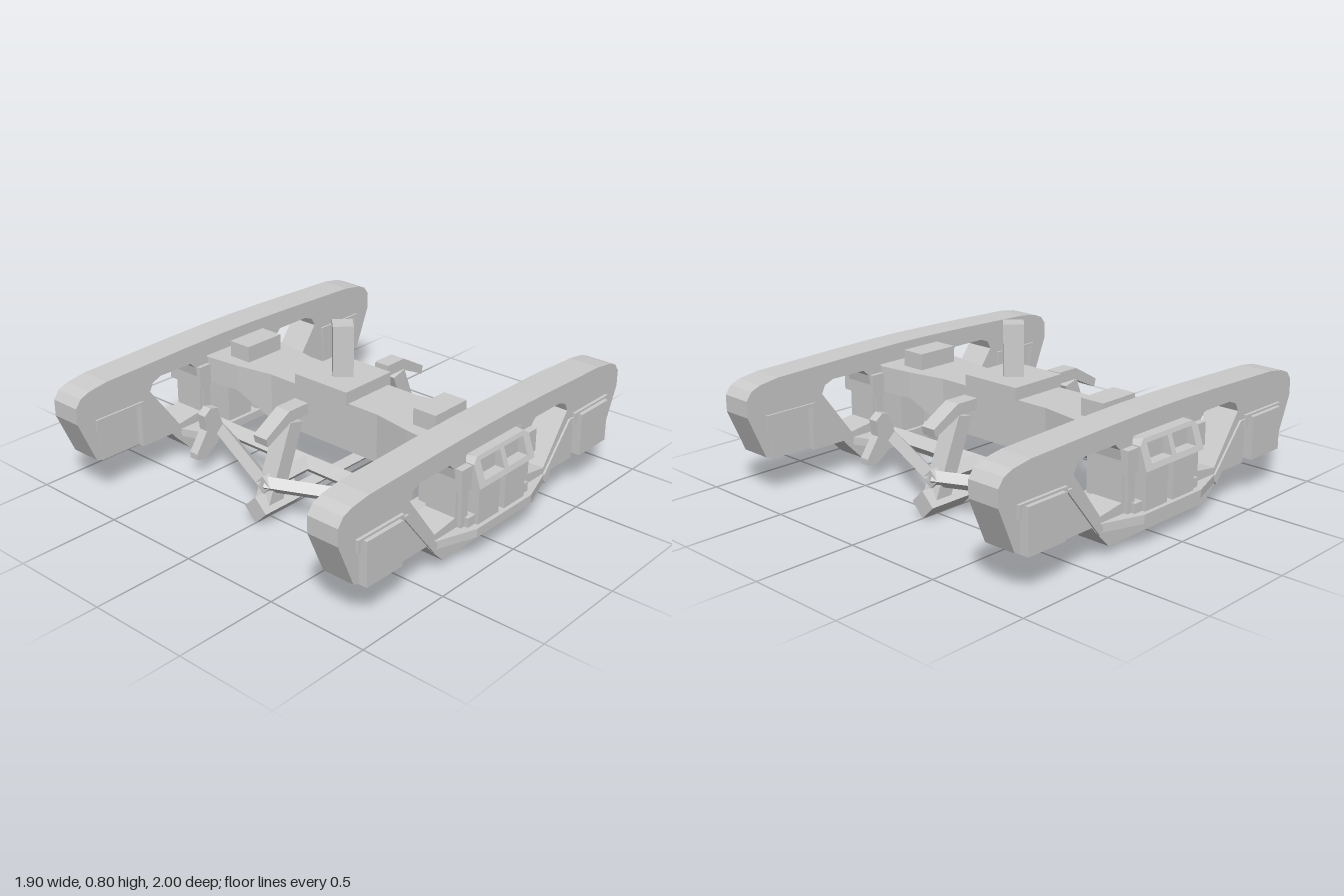
import * as THREE from 'three';

const mat = new THREE.MeshStandardMaterial({ color: 0xcccccc, flatShading: true });

function add(parent, name, geo) {
  const m = new THREE.Mesh(geo, mat);
  m.name = name;
  parent.add(m);
  return m;
}

// box given by its limits on each axis
function box(parent, name, x0, x1, y0, y1, z0, z1) {
  const g = new THREE.BoxGeometry(x1 - x0, y1 - y0, z1 - z0);
  g.translate((x0 + x1) / 2, (y0 + y1) / 2, (z0 + z1) / 2);
  return add(parent, name, g);
}

const vecs = (pts) => pts.map(([a, b]) => new THREE.Vector2(a, b));
const mirrored = (pts) => [...pts, ...pts.map(([a, b]) => [-a, b]).reverse()];

function extrude(pts, depth, holes = []) {
  const s = new THREE.Shape(vecs(pts));
  for (const h of holes) s.holes.push(new THREE.Path(vecs(h)));
  return new THREE.ExtrudeGeometry(s, { depth, bevelEnabled: false });
}

// (z, y) profile spanning x0..x1
function sideProfile(pts, x0, x1, holes) {
  return extrude(pts, x1 - x0, holes).rotateY(-Math.PI / 2).translate(x1, 0, 0);
}

// (x, z) plan spanning y0..y1
function planProfile(pts, y0, y1) {
  return extrude(pts, y1 - y0).rotateX(Math.PI / 2).translate(0, y1, 0);
}

// square bar set on edge between two points, r = half diagonal
function diamondBar(parent, name, a, b, r) {
  const A = new THREE.Vector3(...a), B = new THREE.Vector3(...b);
  const g = new THREE.CylinderGeometry(r, r, A.distanceTo(B), 4);
  const m = add(parent, name, g);
  const dir = B.clone().sub(A).normalize();
  const across = new THREE.Vector3(0, 1, 0).cross(dir).normalize();
  m.quaternion.setFromRotationMatrix(
    new THREE.Matrix4().makeBasis(across, dir, across.clone().cross(dir)));
  m.position.copy(A.add(B).multiplyScalar(0.5));
  return m;
}

function createSideFrame() {
  const g = new THREE.Group();
  g.name = 'sideFrame';

  // cast frame with two windows and a bolster opening
  const half = [
    [0.34, 0.05], [0.43, 0.14], [0.45, 0.165], [0.63, 0.165], [0.63, 0.38], [0.88, 0.38],
    [0.88, 0.19], [0.91, 0.2], [1, 0.41], [1, 0.49], [0.97, 0.53], [0.92, 0.55],
    [0.82, 0.565], [0.35, 0.58], [0.1, 0.585],
  ];
  const win = [
    [0.57, 0.43], [0.55, 0.47], [0.5, 0.49], [0.31, 0.49], [0.28, 0.46],
    [0.26, 0.36], [0.26, 0.22], [0.4, 0.2],
  ];
  const mid = mirrored([[0.2, 0.16], [0.2, 0.5]]);
  add(g, 'frameCasting', sideProfile(mirrored(half), 0.71, 0.87,
    [win, win.map(([z, y]) => [-z, y]), mid]));

  // spring tray flaring out to both sides
  add(g, 'springTray', planProfile(
    [[0.58, -0.2], [0.61, -0.35], [0.71, -0.39], [0.87, -0.42], [0.945, -0.2],
     [0.945, 0.2], [0.87, 0.42], [0.71, 0.39], [0.61, 0.35], [0.58, 0.2]], 0.13, 0.17));

  for (const s of [-1, 1]) {
    const zBox = (name, x0, x1, y0, y1, a, b) =>
      box(g, name, x0, x1, y0, y1, Math.min(s * a, s * b), Math.max(s * a, s * b));
    // axle box and the thin lip over it
    zBox('axleBox', 0.72, 0.905, 0.18, 0.39, 0.65, 0.87);
    zBox('axleBoxLip', 0.7, 0.885, 0.385, 0.4, 0.62, 0.9);
    zBox('axleBoxLipEnd', 0.7, 0.885, 0.34, 0.39, 0.62, 0.635);
    zBox('axleBoxLipEnd', 0.7, 0.885, 0.34, 0.39, 0.885, 0.9);
    // bolster guides and springs
    zBox('bolsterGuide', 0.69, 0.905, 0.35, 0.46, 0.2, 0.27);
    zBox('guideColumn', 0.7, 0.89, 0.16, 0.36, 0.2, 0.245);
    zBox('springBlock', 0.6, 0.925, 0.16, 0.36, 0.02, 0.17);
    zBox('springStop', 0.68, 0.91, 0.16, 0.215, 0.17, 0.22);
    // raised diagonal web along the lower chord
    const rib = [[0.62, 0.38], [0.585, 0.38], [0.385, 0.15], [0.41, 0.12]];
    add(g, 'diagonalRib', sideProfile(rib.map(([z, y]) => [s * z, y]), 0.86, 0.88));
  }

  // sloping bolster end with two pockets
  const pocket = [[0.015, 0.385], [0.155, 0.385], [0.155, 0.47], [0.015, 0.47]];
  const end = sideProfile(mirrored([[0.2, 0.36], [0.2, 0.465], [0.17, 0.49]]), 0, 0.05,
    [pocket, pocket.map(([z, y]) => [-z, y])]);
  const p = end.attributes.position;
  for (let i = 0; i < p.count; i++) p.setX(i, p.getX(i) + 0.9 - (p.getY(i) - 0.36) * 0.35);
  add(g, 'bolsterEnd', end);
  return g;
}

function createBolster() {
  const g = new THREE.Group();
  g.name = 'bolster';
  // stations along x: [x, half depth, underside height]
  const half = [[0.33, 0.14, 0.25], [0.53, 0.175, 0.36], [0.71, 0.195, 0.36], [0.89, 0.17, 0.36]];
  const stations = [...half.map(([x, d, y]) => [-x, d, y]).reverse(), ...half];
  const geo = new THREE.BoxGeometry(2, 1, 1, stations.length - 1, 1, 1);
  const p = geo.attributes.position;
  for (let i = 0; i < p.count; i++) {
    const k = Math.round((p.getX(i) + 1) / 2 * (stations.length - 1));
    const [x, d, y] = stations[k];
    p.setXYZ(i, x, p.getY(i) > 0 ? 0.49 : y, Math.sign(p.getZ(i)) * d);
  }
  geo.computeVertexNormals();
  add(g, 'bolsterBeam', geo);
  box(g, 'centrePlate', -0.16, 0.16, 0.48, 0.55, -0.155, 0.155);
  diamondBar(g, 'kingPin', [0, 0.5, 0], [0, 0.8, 0], 0.068).quaternion.identity();
  for (const s of [-1, 1])
    box(g, 'sideBearing', s * 0.573 - 0.062, s * 0.573 + 0.062, 0.48, 0.57, -0.11, 0.11);
  return g;
}

function createBrakeRig() {
  const g = new THREE.Group();
  g.name = 'brakeRig';
  diamondBar(g, 'brakeBeam', [-0.57, 0.175, 0.245], [0.57, 0.175, 0.245], 0.045);
  diamondBar(g, 'beamStrut', [0, 0.175, 0.26], [0, 0.175, 0.54], 0.045);
  const head = [[0.27, 0.2], [0.31, 0.31], [0.35, 0.32], [0.39, 0.29], [0.38, 0.21],
    [0.45, 0.11], [0.45, 0.08], [0.4, 0.07], [0.31, 0.13]];
  for (const s of [-1, 1]) {
    diamondBar(g, 'trussRod', [s * 0.56, 0.175, 0.265], [0, 0.175, 0.52], 0.038);
    add(g, 'brakeHead', sideProfile(head, s * 0.56 - 0.025, s * 0.56 + 0.025));
  }
  // leaning lever with a hooked top
  add(g, 'brakeLever', sideProfile(
    [[0.47, 0.05], [0.55, 0.08], [0.4, 0.45], [0.32, 0.43]], -0.045, 0.045));
  add(g, 'leverHook', sideProfile(
    [[0.54, 0.38], [0.55, 0.42], [0.4, 0.505], [0.28, 0.505], [0.28, 0.45], [0.39, 0.45]],
    -0.04, 0.04));
  diamondBar(g, 'rodEnd', [0, 0.068, 0.34], [0, 0.068, 0.59], 0.066);
  return g;
}

export function createModel() {
  const model = new THREE.Group();
  model.name = 'railTruck';
  model.add(createBolster());
  // frames and brake rigs repeat by a half turn
  for (const turn of [0, Math.PI]) {
    for (const part of [createSideFrame(), createBrakeRig()]) {
      part.rotation.y = turn;
      model.add(part);
    }
  }
  diamondBar(model, 'brakeRod', [0, 0.068, -0.4], [0, 0.068, 0.4], 0.033);
  return model;
}
